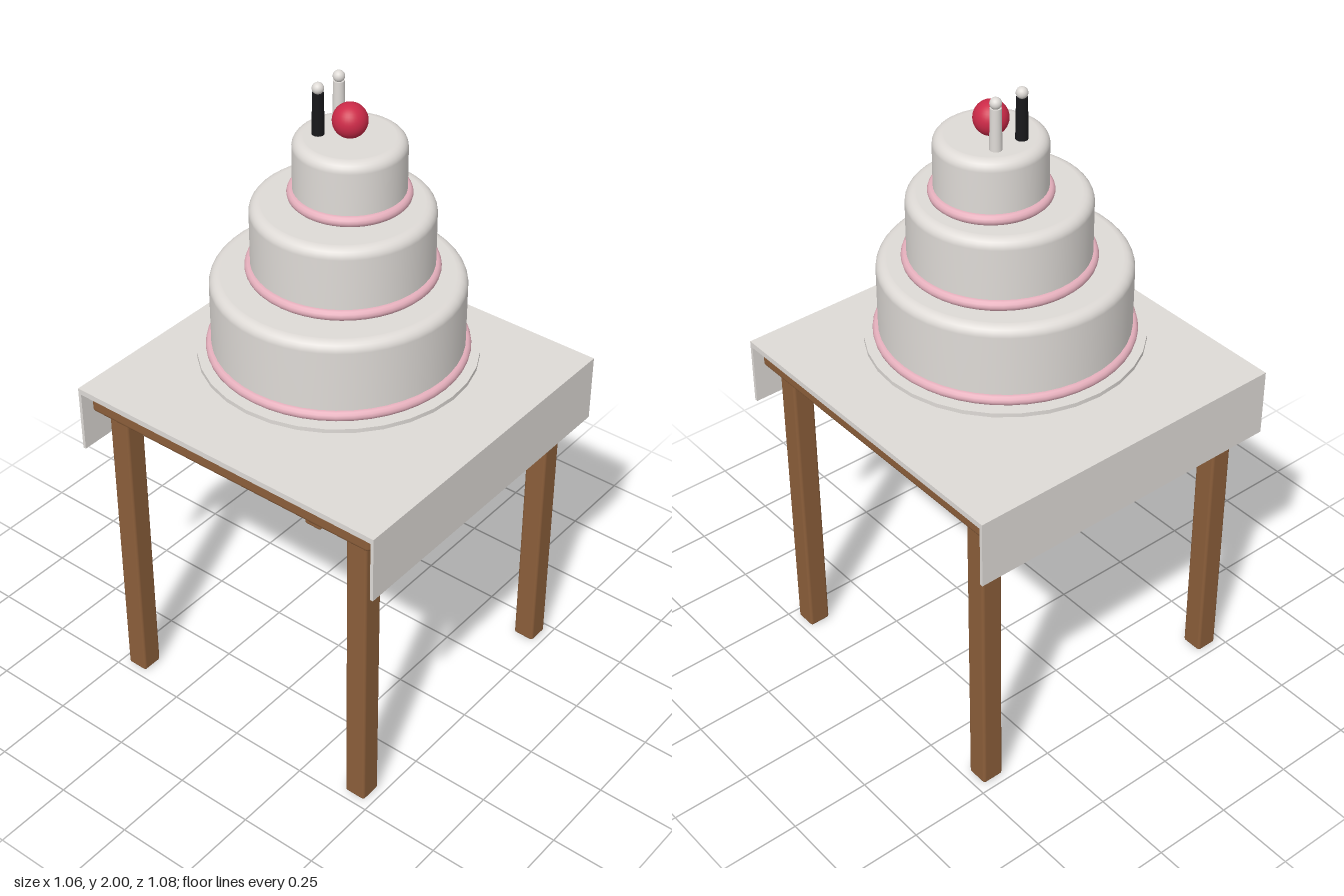
import * as THREE from 'three';
import { RoundedBoxGeometry } from 'three/addons/geometries/RoundedBoxGeometry.js';

const paint = (name, color) => {
  const m = new THREE.MeshStandardMaterial({ color });
  m.name = name;
  return m;
};

export function createModel() {
  const white = paint('icing white', 0xdedad6);
  const pink = paint('icing pink', 0xe6b0bd);
  const brown = paint('wood brown', 0x8b5e3a);
  const red = paint('cherry red', 0xcc2a48);
  const black = paint('suit black', 0x18181b);

  const root = new THREE.Group();
  root.name = 'cakeTable';
  const add = (name, geometry, material, x, y, z, parent = root) => {
    const mesh = new THREE.Mesh(geometry, material);
    mesh.name = name;
    mesh.position.set(x, y, z);
    parent.add(mesh);
    return mesh;
  };

  // Table: top board and four square legs
  add('tableTop', new RoundedBoxGeometry(1.02, 0.06, 1.02, 3, 0.014), brown, 0, 1.032, 0);
  for (const x of [-0.44, 0.44])
    for (const z of [-0.44, 0.44])
      add('leg', new RoundedBoxGeometry(0.07, 1.005, 0.07, 2, 0.009), brown, x, 0.5025, z);

  // Tablecloth: a sheet with a hanging flap at front and back
  add('tablecloth', new THREE.BoxGeometry(1.056, 0.018, 1.06), white, 0, 1.071, 0);
  for (const s of [-1, 1])
    add('clothFlap', new THREE.BoxGeometry(1.056, 0.215, 0.01), white, 0, 0.9725, s * 0.535);

  // Cake stand
  add('standFoot', new THREE.CylinderGeometry(0.055, 0.055, 0.095, 32), white, 0, 1.1245, 0);
  add('standPlate', new THREE.CylinderGeometry(0.408, 0.408, 0.013, 32), white, 0, 1.1775, 0);

  // Tiers with rounded top edges, each ringed with piping at its base
  const tierGeometry = (r, h, bevel) => {
    const pts = [new THREE.Vector2(0, 0), new THREE.Vector2(r, 0), new THREE.Vector2(r, 0.001)];
    for (let i = 0; i <= 6; i++) {
      const a = (i / 6) * Math.PI / 2;
      pts.push(new THREE.Vector2(r - bevel + bevel * Math.cos(a), h - bevel + bevel * Math.sin(a)));
    }
    pts.push(new THREE.Vector2(r - bevel - 0.002, h), new THREE.Vector2(0, h));
    return new THREE.LatheGeometry(pts, 48);
  };
  const tiers = [
    { x: 0, r: 0.366, y: 1.184, top: 1.435 },
    { x: 0.02, r: 0.262, y: 1.435, top: 1.655 },
    { x: 0.05, r: 0.16, y: 1.655, top: 1.845 },
  ];
  for (const { x, r, y, top } of tiers) {
    const tier = new THREE.Group();
    tier.name = 'cakeTier';
    tier.position.set(x, y, 0);
    root.add(tier);
    add('sponge', tierGeometry(r, top - y, 0.03), white, 0, 0, 0, tier);
    add('piping', new THREE.TorusGeometry(r, 0.016, 12, 48), pink, 0, 0.017, 0, tier)
      .rotation.x = Math.PI / 2;
  }

  // Cherry and the two topper figures behind it
  add('cherry', new THREE.SphereGeometry(0.05, 32, 20), red, 0.05, 1.893, 0);
  for (const [x, suit] of [[0.005, black], [0.095, white]]) {
    const figure = new THREE.Group();
    figure.name = 'topperFigure';
    figure.position.set(x, 1.84, -0.075);
    root.add(figure);
    add('figureBody', new THREE.CylinderGeometry(0.016, 0.018, 0.13, 20), suit, 0, 0.065, 0, figure);
    add('figureHead', new THREE.SphereGeometry(0.017, 20, 14), white, 0, 0.143, 0, figure);
  }
  return root;
}
